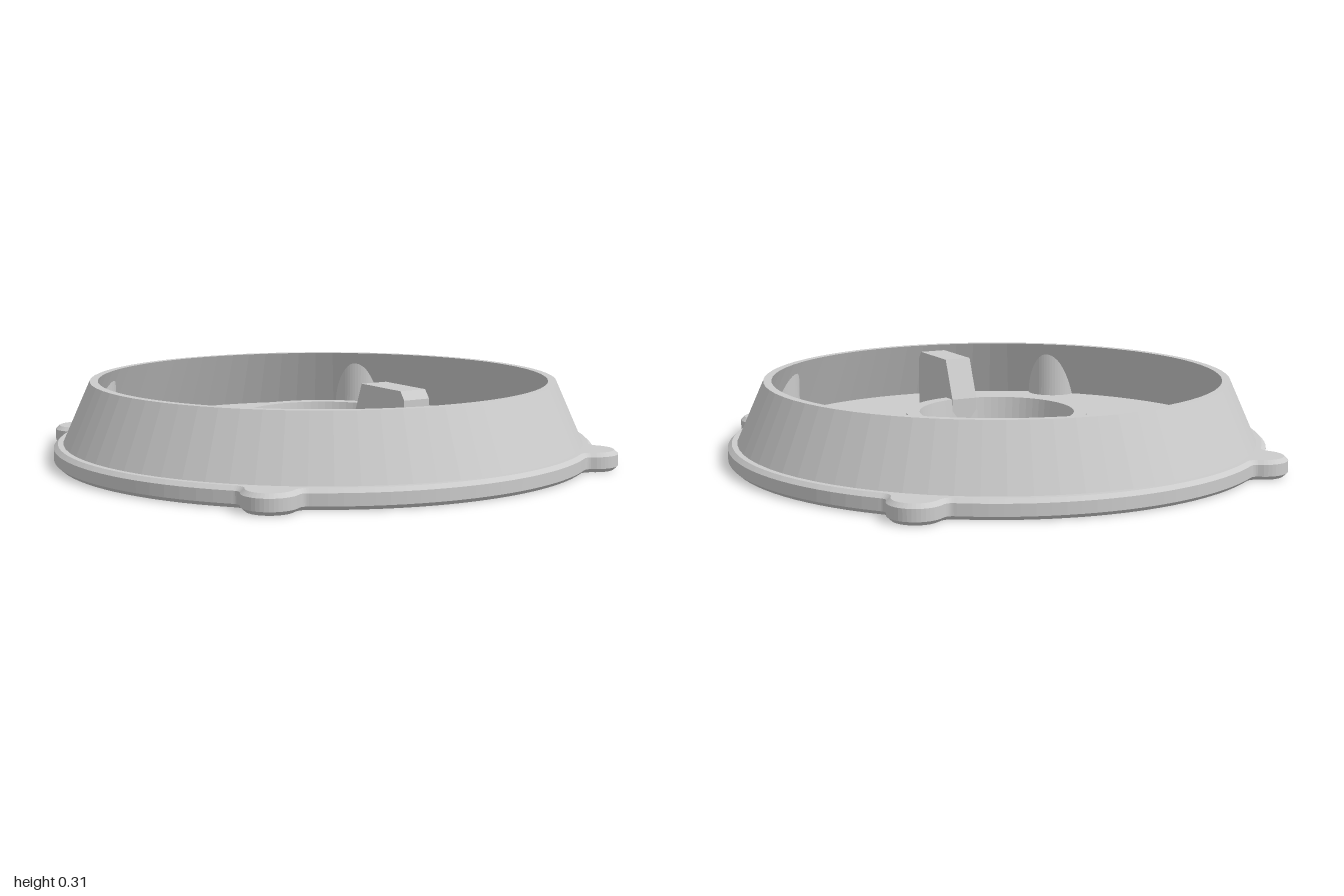
import * as THREE from 'three';

const FLOOR = 0.07;                                   // top of the base plate
const LUG_ANGLE = Math.atan2(0.75, 0.665), LUG_DIST = 1.002, LUG_R = 0.095, FILLET = 0.03;
const LUGS = [LUG_ANGLE, Math.PI - LUG_ANGLE, Math.PI + LUG_ANGLE, 2 * Math.PI - LUG_ANGLE];
const polar = (r, a, cx = 0, cz = 0) => new THREE.Vector2(cx + r * Math.cos(a), cz + r * Math.sin(a));

const material = new THREE.MeshStandardMaterial({ color: 0xcccccc, flatShading: true });

function add(group, name, geometry) {
  const mesh = new THREE.Mesh(geometry, material);
  mesh.name = name;
  group.add(mesh);
  return mesh;
}

const lathe = (points, segments) =>
  new THREE.LatheGeometry(points.map(([r, y]) => new THREE.Vector2(r, y)), segments);

// Round disc outline with four filleted lugs, shrunk by inset (x, z pairs)
function plateOutline(inset) {
  const points = [];
  const arc = (c, r, from, to, n) => {
    for (let i = 0; i <= n; i++) points.push(polar(r, from + (to - from) * i / n, c.x, c.y));
  };
  const origin = new THREE.Vector2();
  const f = 1 + FILLET, g = LUG_R + FILLET;
  const a = Math.acos((f * f + LUG_DIST * LUG_DIST - g * g) / (2 * f * LUG_DIST));
  const b = Math.atan2(f * Math.sin(a), f * Math.cos(a) - LUG_DIST);
  LUGS.forEach((t, i) => {
    const next = i < 3 ? LUGS[i + 1] : LUGS[0] + 2 * Math.PI;
    arc(polar(f, t - a), FILLET + inset, t - a + Math.PI, t - b + Math.PI, 6);
    arc(polar(LUG_DIST, t), LUG_R - inset, t - b, t + b, 18);
    arc(polar(f, t + a), FILLET + inset, t + b + Math.PI, t + a + Math.PI, 6);
    arc(origin, 1 - inset, t + a + 0.01, next - a - 0.01, 24);
  });
  return points;
}

// Surface between a lower and an upper row of 3D points
function strip(lower, upper, closed) {
  const n = lower.length, index = [];
  for (let i = 0; i < (closed ? n : n - 1); i++) {
    const j = (i + 1) % n;
    index.push(i, n + i, j, j, n + i, n + j);
  }
  const geometry = new THREE.BufferGeometry().setFromPoints([...lower, ...upper]);
  geometry.setIndex(index);
  geometry.computeVertexNormals();
  return geometry;
}

// Flat plate face with round holes; up = true faces +y
function plateFace(outline, holes, y, up) {
  const s = up ? -1 : 1;
  const shape = new THREE.Shape(outline.map(p => new THREE.Vector2(p.x, s * p.y)));
  for (const { x, z, r } of holes) {
    const ring = [];
    for (let i = 0; i < 24; i++) ring.push(polar(r, i * Math.PI / 12, x, s * z));
    shape.holes.push(new THREE.Path(ring));
  }
  return new THREE.ShapeGeometry(shape).rotateX(s * Math.PI / 2).translate(0, y, 0);
}

export function createModel() {
  const model = new THREE.Group();
  model.name = 'roundHousing';

  // Holes: centre bore, counterbored screw holes, floor holes and blind lug holes
  const through = r => [[r, FLOOR], [r, 0]];
  const screw = [[0.024, FLOOR], [0.024, 0.035], [0.04, 0.035], [0.04, 0]];
  const holes = [
    { name: 'centreBore', x: 0, z: 0, profile: through(0.055) },
    ...[[-0.175, -0.1], [0.175, -0.1], [0, 0.2]].map(([x, z]) => ({ name: 'screwHole', x, z, profile: screw })),
    ...[-0.61, 0.61].map(x => ({ name: 'floorHole', x, z: -0.44, profile: through(0.018) })),
    ...LUGS.map(t => {
      const p = polar(0.95, t);
      return { name: 'blindHole', x: p.x, z: p.y, blind: true, profile: [[0, 0.06], [0.015, 0.06], [0.015, 0]] };
    }),
  ];
  for (const h of holes) add(model, h.name, lathe(h.profile, 24)).position.set(h.x, 0, h.z);
  const openings = (list, end) => list.map(h => ({ x: h.x, z: h.z, r: h.profile.at(end)[0] }));

  // Base plate with chamfered edge
  const plate = new THREE.Group();
  plate.name = 'basePlate';
  model.add(plate);
  const levels = [[0.015, 0], [0, 0.014], [0, 0.056], [0.015, FLOOR]];
  const rows = levels.map(([inset, y]) => plateOutline(inset).map(p => new THREE.Vector3(p.x, y, p.y)));
  for (let k = 0; k < 3; k++) add(plate, 'plateEdge', strip(rows[k], rows[k + 1], true));
  add(plate, 'plateBottom', plateFace(plateOutline(0.015), openings(holes, -1), 0, false));
  add(plate, 'plateFloor', plateFace(plateOutline(0.015), openings(holes.filter(h => !h.blind), 0), FLOOR, true));

  // Sloping outer wall, leaning inwards
  add(model, 'outerWall', lathe([[0.965, FLOOR], [0.865, 0.295], [0.835, 0.295], [0.935, FLOOR]], 72));

  // Raised ring around the centre
  add(model, 'centreRing', lathe([[0.34, FLOOR], [0.34, 0.16], [0.29, 0.16], [0.28, FLOOR]], 64));

  // Upright screw bosses trimmed by the leaning wall
  for (const t of LUGS) {
    const c = polar(0.955, t), lower = [], upper = [];
    for (let i = 0; i <= 24; i++) {
      const p = polar(0.1, t + Math.PI + (i / 12 - 1) * 1.45, c.x, c.y);
      const y = Math.max(FLOOR, FLOOR + (0.936 - p.length()) * 2.25);
      lower.push(new THREE.Vector3(p.x, FLOOR, p.y));
      upper.push(new THREE.Vector3(p.x, y, p.y));
    }
    add(model, 'screwBoss', strip(lower, upper, false));
  }

  // Upright arm beside the ring, drawn as a side profile (z, y)
  const profile = [[0.28, FLOOR], [0.6, FLOOR], [0.6, 0.28], [0.577, 0.31], [0.34, 0.31], [0.28, 0.16]];
  const arm = new THREE.ExtrudeGeometry(new THREE.Shape(profile.map(p => new THREE.Vector2(...p))),
    { depth: 0.104, bevelEnabled: false });
  add(model, 'arm', arm.rotateY(-Math.PI / 2).translate(0.052, 0, 0));

  return model;
}
